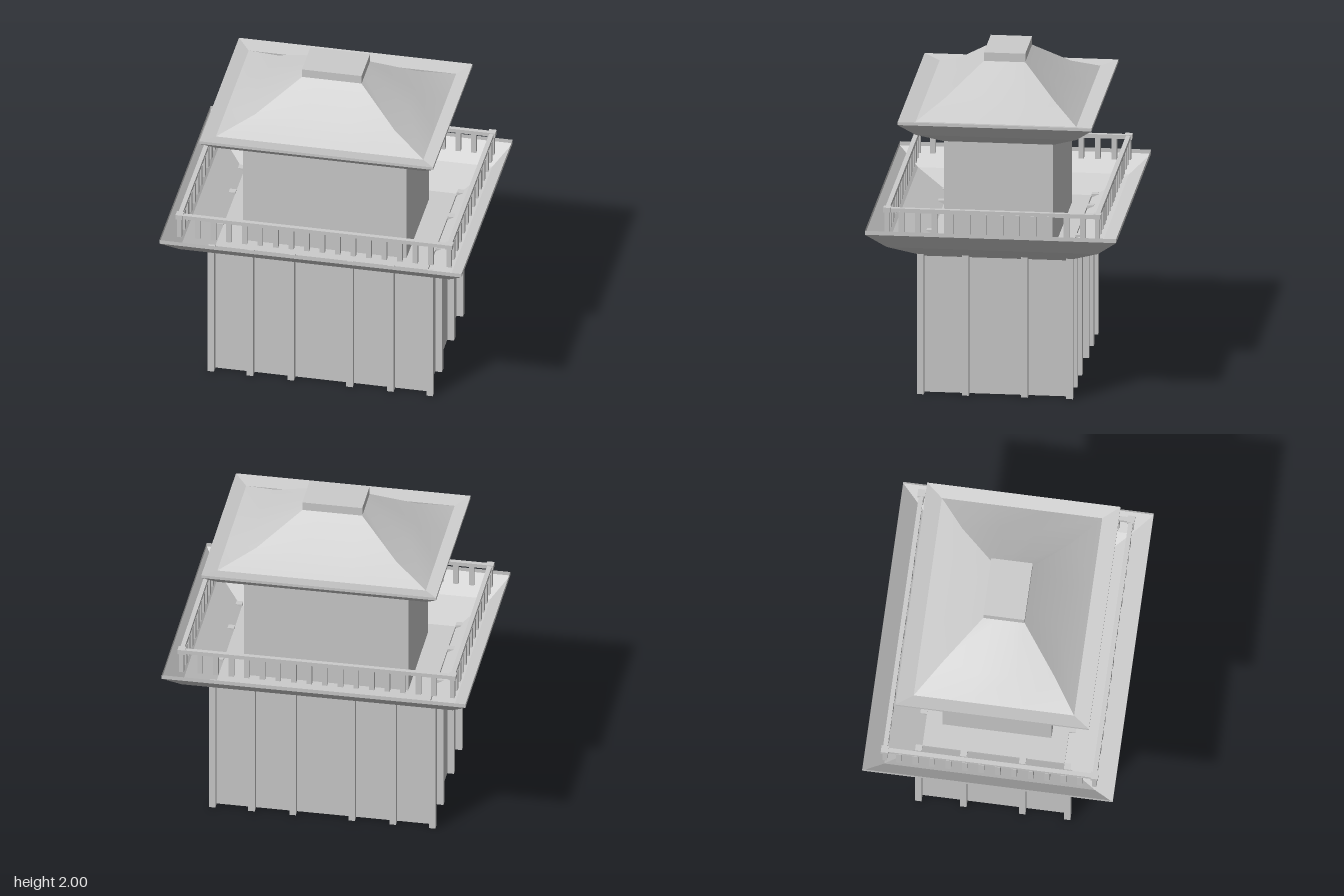
import * as THREE from 'three';
import { toCreasedNormals } from 'three/addons/utils/BufferGeometryUtils.js';

const mat = new THREE.MeshStandardMaterial({ color: 0xcccccc });
const shellMat = new THREE.MeshStandardMaterial({ color: 0xcccccc, side: THREE.DoubleSide });

// Rectangular ring of 12 points, each side split in thirds; bulge pushes the middle of the x sides out
function ring([hx, hz, y, bulge = 0]) {
  const corners = [[-1, 1], [1, 1], [1, -1], [-1, -1]];
  const points = [];
  corners.forEach(([ax, az], k) => {
    const [bx, bz] = corners[(k + 1) % 4];
    for (let i = 0; i < 3; i++) {
      const t = i / 3;
      const x = (ax + (bx - ax) * t) * hx;
      const z = (az + (bz - az) * t) * hz;
      const push = ax === bx && i > 0 ? ax * bulge : 0;
      points.push([x + push, y, z]);
    }
  });
  return points;
}

// Skin over a stack of rectangular rings given as [halfX, halfZ, y, bulge]
function loft(name, sections, crease = 0) {
  const rings = sections.map(ring);
  const positions = [];
  for (let r = 0; r < rings.length - 1; r++) {
    for (let k = 0; k < 12; k++) {
      const n = (k + 1) % 12;
      const a = rings[r][k], b = rings[r][n], c = rings[r + 1][n], d = rings[r + 1][k];
      positions.push(...a, ...b, ...c, ...a, ...c, ...d);
    }
  }
  let geometry = new THREE.BufferGeometry();
  geometry.setAttribute('position', new THREE.Float32BufferAttribute(positions, 3));
  geometry.computeVertexNormals();
  if (crease) geometry = toCreasedNormals(geometry, crease);
  const mesh = new THREE.Mesh(geometry, shellMat);
  mesh.name = name;
  return mesh;
}

// Box centred on x and z, spanning y0 to y1
function box(name, x, z, y0, y1, w, d) {
  const mesh = new THREE.Mesh(new THREE.BoxGeometry(w, y1 - y0, d), mat);
  mesh.position.set(x, (y0 + y1) / 2, z);
  mesh.name = name;
  return mesh;
}

function group(name, ...children) {
  const g = new THREE.Group();
  g.name = name;
  if (children.length) g.add(...children);
  return g;
}

function createPosts() {
  const posts = group('wallPosts');
  const add = (x, z) => posts.add(box('wallPost', x, z, 0, 0.88, 0.04, 0.04));
  for (const s of [-1, 1]) {
    for (const x of [-0.67, -0.43, -0.18, 0.18, 0.43, 0.67]) add(x, s * 0.45);
    for (const z of [-0.178, 0.178]) add(s * 0.67, z);
  }
  return posts;
}

function createRailing() {
  const railing = group('balconyRailing');
  const hx = 0.825, hz = 0.634, bottom = 1.05, top = 1.205;
  for (const s of [-1, 1]) {
    // Handrails
    railing.add(box('handrail', 0, s * hz, 1.18, top, 2 * hx, 0.027));
    railing.add(box('handrail', s * hx, 0, 1.18, top, 0.027, 2 * hz));
    // Balusters
    for (let i = 0; i < 16; i++) {
      railing.add(box('baluster', (i - 7.5) * 0.095, s * hz, bottom, 1.185, 0.032, 0.022));
    }
    for (let i = 0; i < 12; i++) {
      railing.add(box('baluster', s * hx, (i - 5.5) * 0.0995, bottom, 1.185, 0.032, 0.032));
    }
    // Corner posts with caps
    for (const t of [-1, 1]) {
      railing.add(box('cornerPost', s * hx, t * hz, bottom, 1.19, 0.028, 0.028));
      railing.add(box('cornerCap', s * hx, t * hz, 1.18, 1.21, 0.045, 0.045));
    }
  }
  return railing;
}

export function createModel() {
  return group('watchtower',
    // Lower storey, open underneath
    loft('lowerWalls', [[0.65, 0.43, 0.005], [0.65, 0.43, 0.86]]),
    createPosts(),
    // Flared balcony dish with a thin upright rim
    loft('balconyEave', [
      [0.65, 0.43, 0.857], [0.825, 0.637, 0.957], [0.925, 0.758, 1.06], [0.925, 0.758, 1.085],
    ]),
    box('balconyFloor', 0, 0, 0.857, 0.872, 1.3, 0.86),
    createRailing(),
    // Upper storey
    loft('upperWalls', [[0.5, 0.33, 0.87], [0.5, 0.33, 1.535]]),
    // Upper eave, its top dipping to the foot of the roof
    loft('upperEave', [
      [0.5, 0.33, 1.533], [0.64, 0.485, 1.61], [0.715, 0.585, 1.69],
      [0.715, 0.585, 1.708], [0.635, 0.485, 1.69],
    ]),
    // Hipped roof, sagging along the hips
    loft('roof', [
      [0.635, 0.485, 1.69], [0.425, 0.332, 1.78, 0.045], [0.182, 0.125, 1.947],
    ], 0.5),
    box('roofCap', 0, 0, 1.945, 2, 0.365, 0.25),
  );
}
